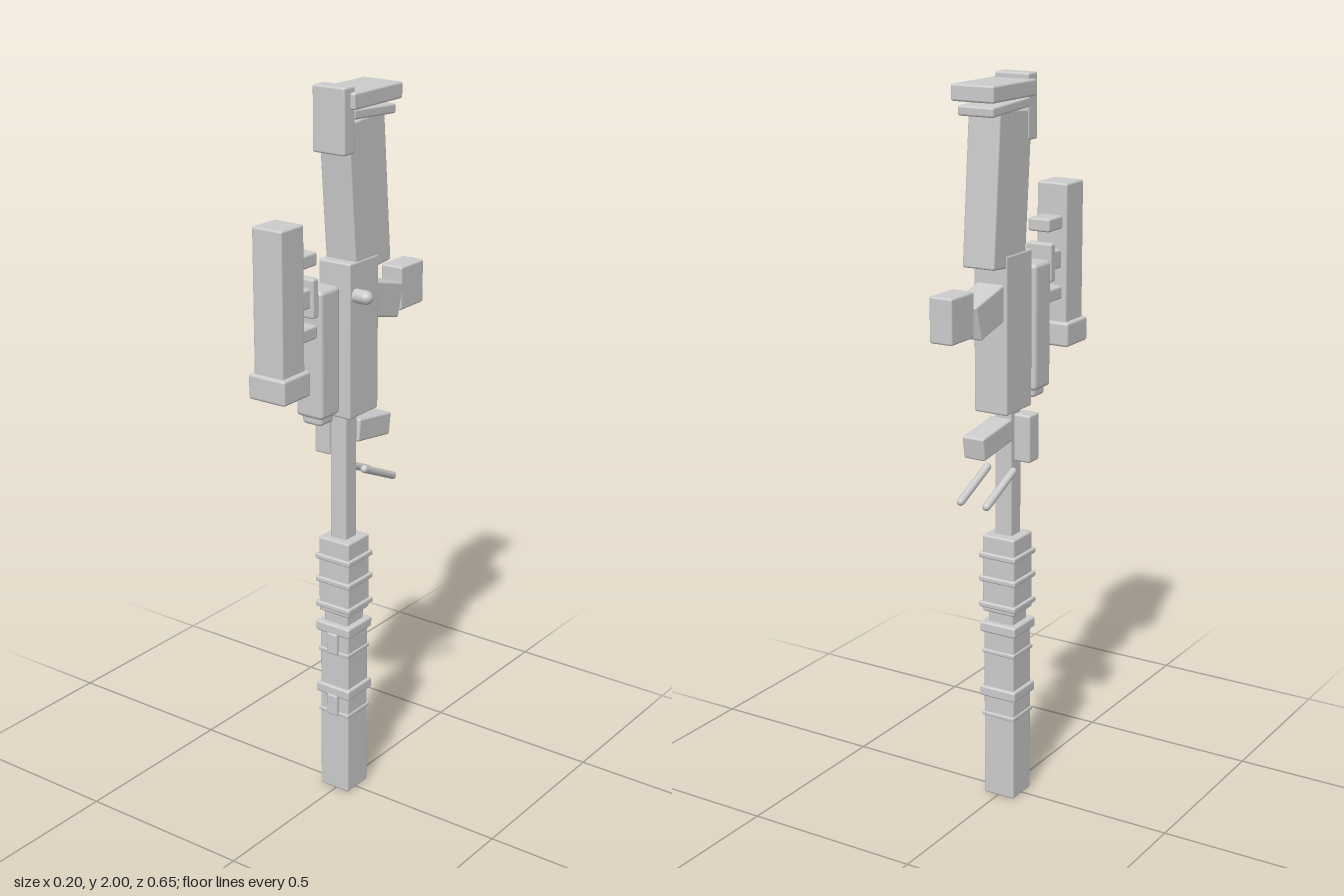
import * as THREE from 'three';
import { RoundedBoxGeometry } from 'three/addons/geometries/RoundedBoxGeometry.js';

export function createModel() {
  const model = new THREE.Group();
  model.name = 'rifle';
  const grey = new THREE.MeshStandardMaterial({ color: 0xcccccc });
  grey.name = 'light grey';
  const MID = -0.004; // centre line of the body

  const add = (name, geometry, x, y, z) => {
    const mesh = new THREE.Mesh(geometry, grey);
    mesh.name = name;
    mesh.position.set(x, y, z);
    model.add(mesh);
    return mesh;
  };
  // bevelled box given by its width and its y and z extents
  const block = (name, w, y0, y1, z0, z1, x = MID, bevel = 0.006) => {
    const h = y1 - y0, d = z1 - z0;
    const r = Math.min(bevel, w * 0.3, h * 0.3, d * 0.3);
    return add(name, new RoundedBoxGeometry(w, h, d, 2, r), x, (y0 + y1) / 2, (z0 + z1) / 2);
  };

  // Stock, butt plate and cheek piece
  block('buttPlate', 0.125, 1.942, 1.985, -0.173, 0.037);
  block('buttPad', 0.105, 1.91, 1.936, -0.158, 0.022).rotation.x = -0.06;
  block('cheekPiece', 0.1, 1.83, 2.0, 0.016, 0.063);
  block('stock', 0.095, 1.515, 1.915, -0.132, 0.025).rotation.x = 0.083;

  // Receiver with side knob, grip and rear block
  block('receiver', 0.1, 1.127, 1.55, -0.09, 0.039);
  const knob = add('sideKnob', new THREE.CapsuleGeometry(0.019, 0.045, 4, 12), 0.056, 1.462, 0.013);
  knob.rotation.z = Math.PI / 2;
  block('grip', 0.08, 1.365, 1.46, -0.21, -0.07).rotation.x = -0.25;
  block('rearBlock', 0.067, 1.362, 1.482, -0.323, -0.217);

  // Magazine in front of the receiver, with its two studs
  block('magazine', 0.085, 1.155, 1.5, 0.068, 0.151, MID, 0.012);
  block('magazineEnd', 0.062, 1.133, 1.17, 0.08, 0.14, MID, 0.01);
  for (const y of [1.42, 1.232]) {
    const stud = add('magazineStud', new THREE.CapsuleGeometry(0.016, 0.03, 4, 10), MID, y, 0.055);
    stud.rotation.x = Math.PI / 2;
  }

  // Scope with mounts and adjuster
  block('scopeBody', 0.092, 1.25, 1.692, 0.223, 0.315);
  block('scopeHood', 0.115, 1.247, 1.315, 0.213, 0.325, MID, 0.008);
  for (const y of [1.588, 1.397]) block('scopeMount', 0.066, y - 0.018, y + 0.018, 0.153, 0.23);
  block('scopeAdjuster', 0.06, 1.463, 1.515, 0.175, 0.228);
  block('adjusterPlate', 0.078, 1.436, 1.54, 0.154, 0.18);

  // Barrel, side box, foregrip and the pair of legs
  block('barrel', 0.052, 0.5, 1.14, -0.028, 0.024);
  block('sideBox', 0.05, 0.995, 1.125, -0.05, 0, -0.075);
  block('foregrip', 0.065, 1.032, 1.095, -0.175, -0.028).rotation.x = -0.145;
  for (const side of [-1, 1]) {
    const leg = add('leg', new THREE.CapsuleGeometry(0.011, 0.145, 4, 10), MID + side * 0.04, 0.932, -0.108);
    leg.rotation.x = 1.14;
  }

  // Ribbed sleeve
  block('sleeve', 0.1, 0.55, 0.772, -0.054, 0.045);
  for (const y of [0.715, 0.647, 0.572]) block('sleeveRing', 0.115, y - 0.008, y + 0.008, -0.062, 0.052);
  block('neck', 0.078, 0.49, 0.56, -0.043, 0.035);

  // Muzzle tube with bands and front clips
  block('muzzle', 0.095, 0, 0.51, -0.052, 0.043);
  for (const [y0, y1] of [[0.49, 0.52], [0.299, 0.329]]) block('muzzleBand', 0.112, y0, y1, -0.06, 0.052);
  for (const y of [0.433, 0.245]) block('muzzleRing', 0.102, y - 0.006, y + 0.006, -0.056, 0.047);
  for (const [y0, y1] of [[0.43, 0.495], [0.24, 0.305]]) block('frontClip', 0.036, y0, y1, 0.03, 0.055);

  return model;
}
